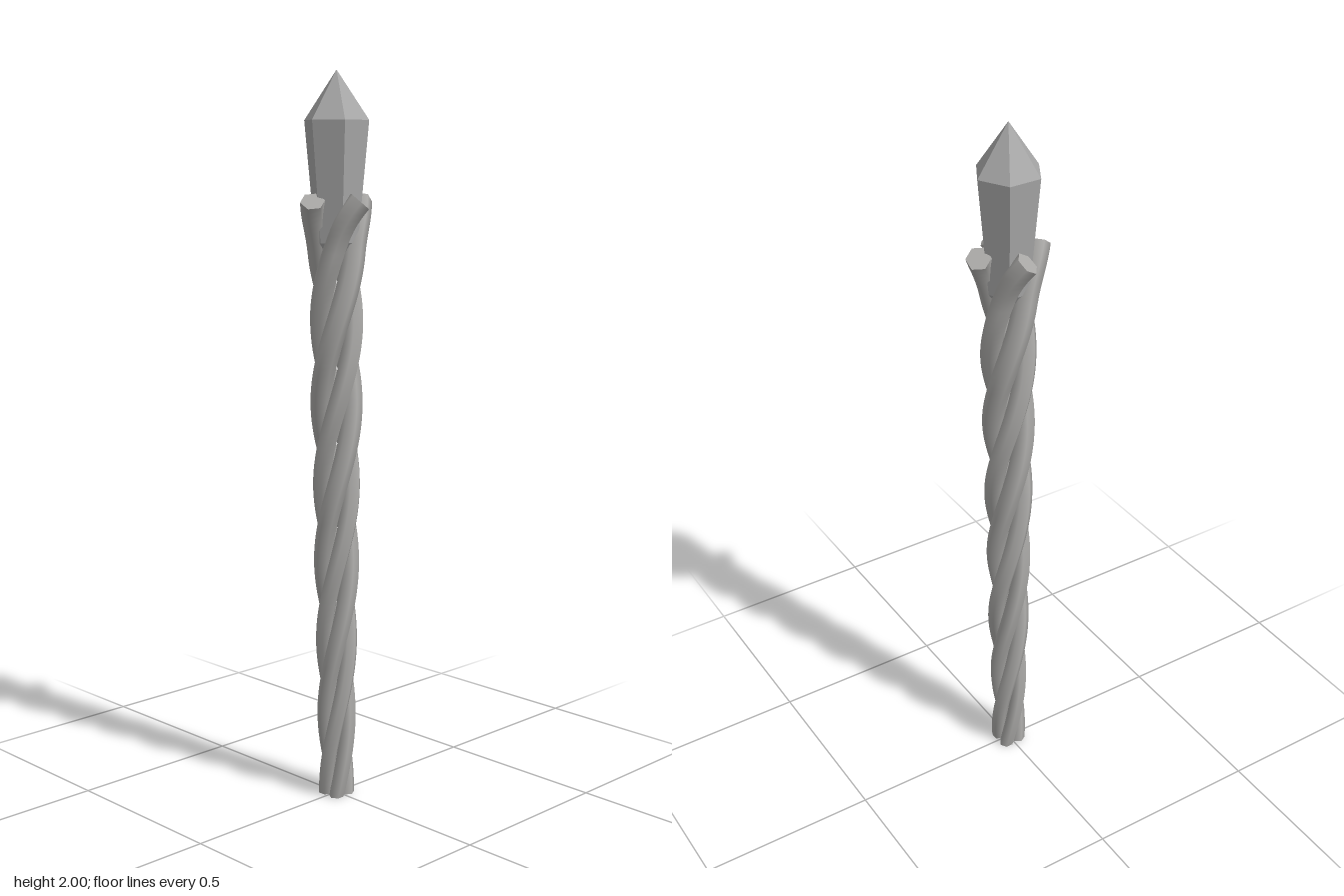
import * as THREE from 'three';

const TOP = 1.66, FLARE = 1.52, SEGS = 90, SIDES = 6;

// One strand: a helix that widens slowly and opens outward at its tip
class StrandCurve extends THREE.Curve {
  constructor(offset) {
    super();
    this.offset = offset;
  }
  getPoint(t, target = new THREE.Vector3()) {
    const y = t * TOP;
    const angle = this.offset + Math.PI / 4 + t * 7.5 * Math.PI / 2;
    const f = Math.max(0, (y - FLARE) / (TOP - FLARE));
    const r = 0.029 + 0.019 * t + 0.04 * f * f;
    return target.set(r * Math.sin(angle), y, r * Math.cos(angle));
  }
}

const thickness = (y) => 0.021 + 0.012 * Math.min(1, y / TOP);

function strandGeometries(offset) {
  const curve = new StrandCurve(offset);
  const tube = new THREE.TubeGeometry(curve, SEGS, 1, SIDES, false);
  const pos = tube.attributes.position, nor = tube.attributes.normal;
  const n = new THREE.Vector3(), row = SIDES + 1;
  // Taper the tube, keeping its foot flat on the ground
  for (let i = 0; i < pos.count; i++) {
    const p = curve.getPointAt(Math.floor(i / row) / SEGS);
    n.fromBufferAttribute(nor, i);
    p.addScaledVector(n, thickness(p.y));
    if (i < row) p.y = 0;
    pos.setXYZ(i, p.x, Math.max(0, p.y), p.z);
  }
  // Flat caps on both ends
  const points = [];
  const corner = (i) => new THREE.Vector3().fromBufferAttribute(pos, i);
  for (let j = 0; j < SIDES; j++) {
    const end = SEGS * row + j;
    points.push(curve.getPointAt(0), corner(j), corner(j + 1));
    points.push(curve.getPointAt(1), corner(end + 1), corner(end));
  }
  const caps = new THREE.BufferGeometry().setFromPoints(points);
  caps.computeVertexNormals();
  return { tube, caps };
}

export function createModel() {
  const model = new THREE.Group();
  model.name = 'twistedStaff';
  const strandGrey = new THREE.MeshStandardMaterial({ color: 0xa9a8a6 });
  strandGrey.name = 'strand grey';
  const crystalGrey = new THREE.MeshStandardMaterial({ color: 0xa8a8a8, flatShading: true });
  crystalGrey.name = 'crystal grey';

  const add = (parent, name, geometry, material, y = 0) => {
    const mesh = new THREE.Mesh(geometry, material);
    mesh.name = name;
    mesh.position.y = y;
    parent.add(mesh);
  };

  // Four strands twisted into the shaft
  for (let k = 0; k < 4; k++) {
    const strand = new THREE.Group();
    strand.name = `strand${k + 1}`;
    const { tube, caps } = strandGeometries(k * Math.PI / 2);
    add(strand, 'strandBody', tube, strandGrey);
    add(strand, 'strandEnds', caps, strandGrey);
    model.add(strand);
  }

  // Six-sided crystal held by the strand tips
  const crystal = new THREE.Group();
  crystal.name = 'crystal';
  add(crystal, 'crystalBody', new THREE.CylinderGeometry(0.089, 0.059, 0.32, 6, 1, true), crystalGrey, 1.71);
  add(crystal, 'crystalTip', new THREE.ConeGeometry(0.089, 0.13, 6, 1, true), crystalGrey, 1.935);
  const base = new THREE.ConeGeometry(0.059, 0.08, 6, 1, true).rotateX(Math.PI);
  add(crystal, 'crystalBase', base, crystalGrey, 1.51);
  model.add(crystal);

  return model;
}
